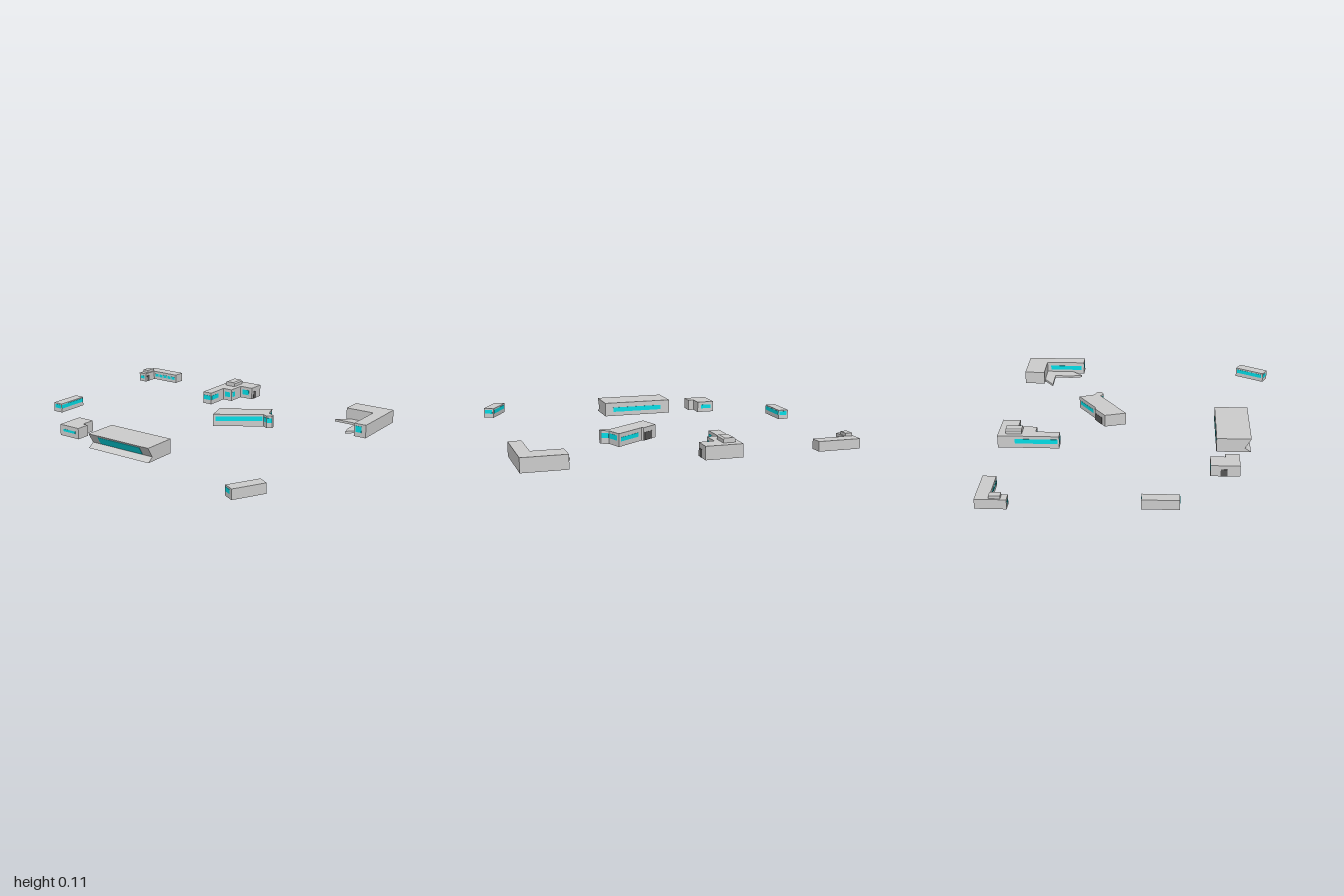
import * as THREE from 'three';

const grey = new THREE.MeshStandardMaterial({ color: 0xcccccc, flatShading: true });
const glass = new THREE.MeshStandardMaterial({ color: 0x00dde6 });
const dark = new THREE.MeshStandardMaterial({ color: 0x555555 });

const shapeOf = (pts) => new THREE.Shape(pts.map(([x, y]) => new THREE.Vector2(x, y)));

function addMesh(parent, name, geometry, material = grey) {
  const mesh = new THREE.Mesh(geometry, material);
  mesh.name = name;
  parent.add(mesh);
  return mesh;
}

// Upright block from a footprint of [x, z] corners
function block(parent, name, plan, y0, y1) {
  const g = new THREE.ExtrudeGeometry(shapeOf(plan.map(([x, z]) => [x, -z])), { depth: y1 - y0, bevelEnabled: false });
  g.rotateX(-Math.PI / 2).translate(0, y0, 0);
  return addMesh(parent, name, g);
}

const rect = (x0, x1, z0, z1) => [[x0, z0], [x1, z0], [x1, z1], [x0, z1]];

// Thin panel set on the wall line from a to b
function panel(parent, a, b, y0, y1, material = glass, name = 'window') {
  const dx = b[0] - a[0], dz = b[1] - a[1];
  const m = addMesh(parent, name, new THREE.BoxGeometry(Math.hypot(dx, dz), y1 - y0, 0.003), material);
  m.position.set((a[0] + b[0]) / 2, (y0 + y1) / 2, (a[1] + b[1]) / 2);
  m.rotation.y = Math.atan2(-dz, dx);
}

function building(root, name, build) {
  const g = new THREE.Group();
  g.name = name;
  build(g);
  root.add(g);
}

export function createModel() {
  const root = new THREE.Group();
  root.name = 'buildingComplex';

  // Small L-shaped block with a row of windows
  building(root, 'smallLBuilding', (g) => {
    block(g, 'walls', [[-1, -0.88], [-0.735, -0.88], [-0.735, -0.8], [-0.94, -0.8], [-0.94, -0.7], [-1, -0.7]], 0, 0.06);
    block(g, 'roofUnit', rect(-0.99, -0.948, -0.8, -0.735), 0.06, 0.078);
    for (let i = 0; i < 5; i++) {
      const x = -0.925 + i * 0.038;
      panel(g, [x, -0.8], [x + 0.028, -0.8], 0.022, 0.042);
    }
    panel(g, [-0.985, -0.7], [-0.955, -0.7], 0.022, 0.042);
    panel(g, [-0.94, -0.74], [-0.94, -0.715], 0, 0.042, dark, 'door');
  });

  // Stepped block with a chamfered roof unit
  building(root, 'steppedBuilding', (g) => {
    block(g, 'walls', [[-0.267, -0.877], [-0.04, -0.877], [-0.04, -0.765], [-0.133, -0.765],
      [-0.133, -0.647], [-0.2, -0.647], [-0.2, -0.495], [-0.267, -0.495]], 0, 0.08);
    const roof = new THREE.ExtrudeGeometry(shapeOf([[-0.237, 0.08], [-0.163, 0.08], [-0.163, 0.1],
      [-0.173, 0.108], [-0.227, 0.108], [-0.237, 0.1]]), { depth: 0.1, bevelEnabled: false });
    addMesh(g, 'roofUnit', roof.translate(0, 0, -0.83));
    panel(g, [-0.267, -0.77], [-0.267, -0.505], 0.03, 0.06);
    panel(g, [-0.262, -0.495], [-0.205, -0.495], 0.03, 0.06);
    panel(g, [-0.2, -0.5], [-0.2, -0.58], 0.03, 0.06);
    panel(g, [-0.185, -0.647], [-0.145, -0.647], 0.025, 0.06);
    panel(g, [-0.133, -0.66], [-0.133, -0.69], 0.025, 0.06);
    panel(g, [-0.115, -0.765], [-0.065, -0.765], 0.025, 0.06);
    panel(g, [-0.04, -0.785], [-0.04, -0.82], 0, 0.05, dark, 'door');
  });

  // Large L-shaped block with a low pointed terrace
  building(root, 'largeLBuilding', (g) => {
    block(g, 'walls', [[0.727, -0.85], [0.995, -0.85], [0.995, -0.45], [0.915, -0.45], [0.915, -0.715], [0.727, -0.715]], 0, 0.085);
    block(g, 'terrace', [[0.68, -0.65], [0.765, -0.715], [0.915, -0.715], [0.915, -0.53],
      [0.85, -0.46], [0.835, -0.53], [0.835, -0.65]], 0, 0.015);
    panel(g, [0.925, -0.45], [0.965, -0.45], 0.03, 0.07);
    panel(g, [0.915, -0.47], [0.915, -0.69], 0.03, 0.06);
  });

  // Angled block with an entrance bay on its end
  building(root, 'angledBuilding', (g) => {
    const a = [0.05, -0.235], b = [0.335, -0.425], c = [0.37, -0.33], d = [0.415, -0.31];
    const e = [0.42, -0.285], f = [0.39, -0.268], h = [0.355, -0.285], i = [0.09, -0.1];
    block(g, 'walls', [a, [0.15, -0.308], [0.16, -0.3], b, c, d, e, f, h, i], 0, 0.08);
    const along = (p, q, t) => [p[0] + (q[0] - p[0]) * t, p[1] + (q[1] - p[1]) * t];
    const strip = (p, q, t0, t1, y0 = 0.035, y1 = 0.066) => panel(g, along(p, q, t0), along(p, q, t1), y0, y1);
    strip(i, h, 0.05, 0.98);
    strip(h, f, 0.05, 0.95);
    strip(f, e, 0.05, 0.95);
    strip(d, c, 0.05, 0.95);
    strip(c, b, 0.05, 0.8);
    strip([0.16, -0.3], b, 0.15, 0.92, 0.03, 0.055);
    panel(g, along(a, [0.15, -0.308], 0.3), along(a, [0.15, -0.308], 0.9), 0, 0.05, dark, 'door');
  });

  // Long hall with a V-shaped front
  building(root, 'hall', (g) => {
    const hall = new THREE.ExtrudeGeometry(shapeOf([[0.475, 0], [0.688, 0], [0.65, 0.027], [0.688, 0.09], [0.475, 0.09]]),
      { depth: 0.455, bevelEnabled: false });
    addMesh(g, 'walls', hall.rotateY(-Math.PI / 2).translate(0.185, 0, 0));
    const front = addMesh(g, 'frontWindow', new THREE.BoxGeometry(0.32, 0.057, 0.003), glass);
    front.position.set(-0.045, 0.0535, 0.666);
    front.rotation.x = Math.atan2(0.038, 0.063);
    panel(g, [-0.21, 0.475], [0.13, 0.475], 0.028, 0.058);
  });

  // Small notched block
  building(root, 'notchedBuilding', (g) => {
    block(g, 'walls', [[-0.58, 0.43], [-0.467, 0.43], [-0.467, 0.52], [-0.43, 0.52], [-0.43, 0.605], [-0.58, 0.605]], 0, 0.07);
    panel(g, [-0.555, 0.605], [-0.455, 0.605], 0.03, 0.045);
    panel(g, [-0.56, 0.43], [-0.49, 0.43], 0.025, 0.05);
    panel(g, [-0.58, 0.49], [-0.58, 0.53], 0, 0.045, dark, 'door');
  });

  // Narrow block
  building(root, 'narrowBuilding', (g) => {
    block(g, 'walls', rect(-0.97, -0.903, 0.04, 0.253), 0, 0.06);
    panel(g, [-0.903, 0.043], [-0.903, 0.25], 0.027, 0.052);
    for (const z of [0.04, 0.253]) panel(g, [-0.96, z], [-0.908, z], 0.027, 0.052);
  });

  // Narrow turned block
  building(root, 'turnedBuilding', (g) => {
    block(g, 'walls', [[0.92, 0.653], [0.98, 0.688], [0.88, 0.87], [0.818, 0.837]], 0, 0.062);
    panel(g, [0.823, 0.828], [0.915, 0.662], 0.027, 0.052);
    panel(g, [0.823, 0.84], [0.862, 0.861], 0.027, 0.052);
    panel(g, [0.928, 0.658], [0.972, 0.683], 0.027, 0.052);
  });

  return root;
}
